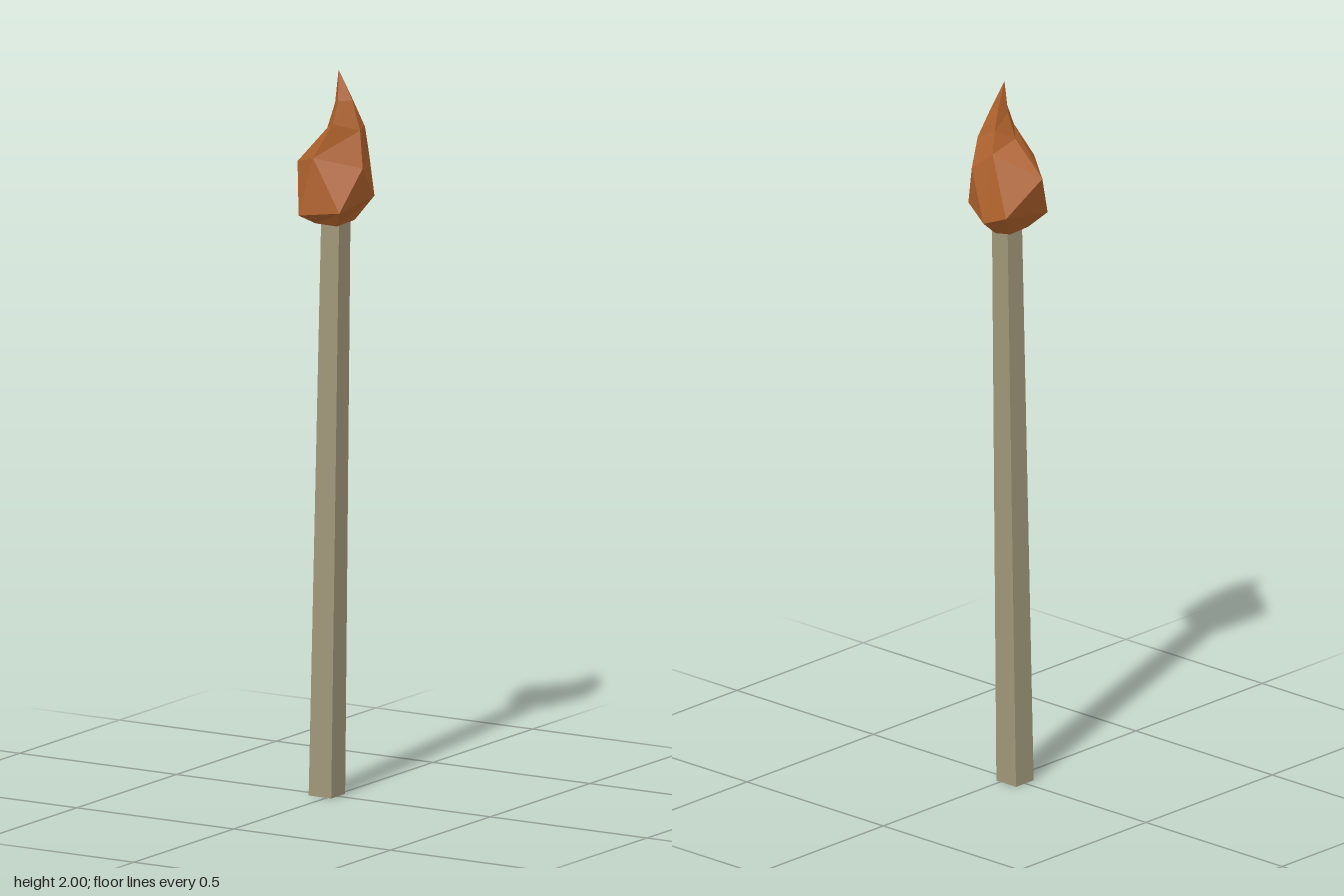
import * as THREE from 'three';

// Faceted skin through rings of equal point count (bottom to top, counter-clockwise from above).
// twist[i] = true makes ring i+1 sit half a step round from ring i.
function loft(rings, twist = []) {
  const pos = [];
  const tri = (a, b, c) => pos.push(...a, ...b, ...c);
  const n = rings[0].length;
  const centre = (ring) => [0, 1, 2].map((k) => ring.reduce((s, p) => s + p[k], 0) / n);
  const low = centre(rings[0]);
  const high = centre(rings[rings.length - 1]);
  for (let j = 0; j < n; j++) {
    const k = (j + 1) % n;
    tri(low, rings[0][k], rings[0][j]);
    for (let i = 0; i < rings.length - 1; i++) {
      const a = rings[i], b = rings[i + 1];
      if (twist[i]) {
        tri(a[j], b[k], b[j]);
        tri(a[j], a[k], b[k]);
      } else {
        tri(a[j], a[k], b[k]);
        tri(a[j], b[k], b[j]);
      }
    }
    tri(rings[rings.length - 1][j], rings[rings.length - 1][k], high);
  }
  const g = new THREE.BufferGeometry();
  g.setAttribute('position', new THREE.Float32BufferAttribute(pos, 3));
  g.computeVertexNormals();
  return g;
}

function part(name, geometry, color) {
  const mesh = new THREE.Mesh(geometry, new THREE.MeshStandardMaterial({ color, flatShading: true }));
  mesh.name = name;
  return mesh;
}

const square = (x0, x1, y, z0, z1) => [[x0, y, z1], [x1, y, z1], [x1, y, z0], [x0, y, z0]];

export function createModel() {
  const group = new THREE.Group();
  group.name = 'torch';

  // Slightly leaning, tapering square handle
  group.add(part('handle', loft([
    square(-0.057, 0.015, 0, -0.036, 0.034),
    square(-0.023, 0.034, 1.61, -0.033, 0.024),
  ]), 0xa09679));

  // Five-sided flame: rounded belly drawn up into a curling tip
  const tip = [0.013, 2, -0.006];
  group.add(part('flame', loft([
    // underside
    [[-0.03, 1.58, 0.042], [0.04, 1.58, 0.045], [0.055, 1.588, -0.02], [0.01, 1.575, -0.045], [-0.035, 1.58, -0.035]],
    // lower belly
    [[-0.047, 1.61, 0.1], [0.07, 1.625, 0.08], [0.088, 1.65, -0.068], [0, 1.62, -0.103], [-0.075, 1.65, -0.095]],
    // widest ring, set between the corners below
    [[-0.1, 1.74, 0.022], [-0.01, 1.77, 0.086], [0.1, 1.74, 0.01], [0.06, 1.76, -0.085], [0, 1.81, -0.067]],
    // shoulder
    [[-0.015, 1.838, 0.007], [0.027, 1.86, 0.046], [0.083, 1.84, -0.004], [0.066, 1.84, -0.055], [0.013, 1.865, -0.045]],
    // neck of the tip
    [[0.006, 1.91, 0], [0.03, 1.92, 0.023], [0.058, 1.92, -0.005], [0.045, 1.92, -0.025], [0.015, 1.92, -0.03]],
    [tip, tip, tip, tip, tip],
  ], [false, true]), 0xb0622c));

  return group;
}
